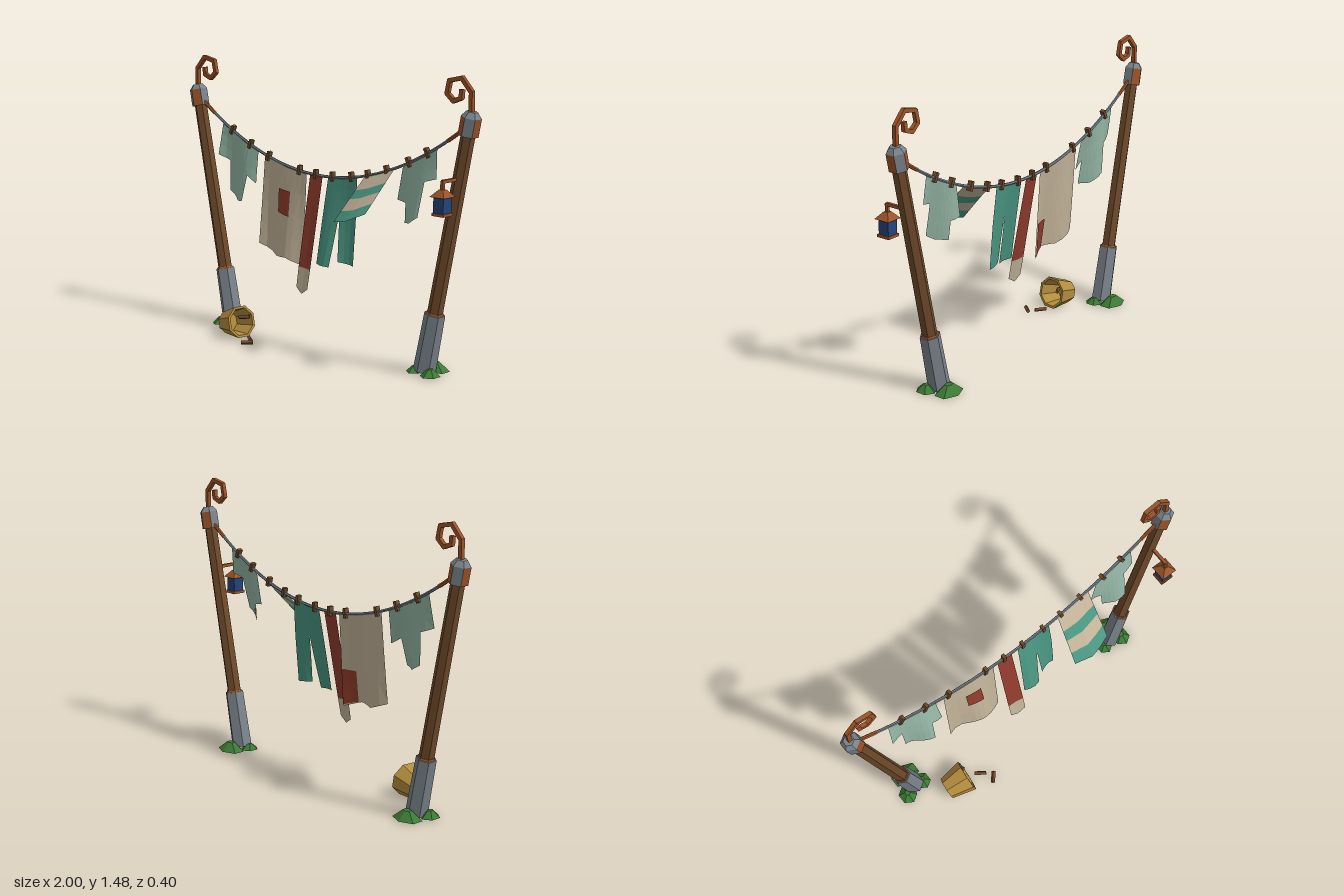
import * as THREE from 'three';

const material = (name, color, side = THREE.FrontSide) => {
  const m = new THREE.MeshStandardMaterial({ color, side });
  m.name = name;
  return m;
};
const both = THREE.DoubleSide;
const brown = material('dark wood', 0x6e4a2a);
const grey = material('stone grey', 0x79838a);
const copper = material('copper', 0x9c5429);
const mint = material('mint cloth', 0x94b6a5, both);
const cream = material('cream cloth', 0xc2b399, both);
const red = material('red cloth', 0x913c2d, both);
const teal = material('teal cloth', 0x4a9682, both);
const blue = material('blue glass', 0x25437a);
const gold = material('straw gold', 0xb38d3e, both);
const green = material('grass green', 0x3c7a34);

const Z = -0.075; // depth of the poles and the rope
const ropeY = (x) => 0.905 + 0.386 * x * x;
const V = (x, y, z = Z) => new THREE.Vector3(x, y, z);

// Faceted mesh
function add(parent, name, geo, mat) {
  const g = geo.index ? geo.toNonIndexed() : geo;
  g.computeVertexNormals();
  const m = new THREE.Mesh(g, mat);
  m.name = name;
  parent.add(m);
  return m;
}

// Square bar between two points
function strut(parent, name, a, b, w, mat) {
  const m = add(parent, name, new THREE.BoxGeometry(w, a.distanceTo(b) + w * 0.4, w), mat);
  m.position.copy(a).add(b).multiplyScalar(0.5);
  m.quaternion.setFromUnitVectors(V(0, 1, 0), b.clone().sub(a).normalize());
  return m;
}

// Upright prism from y0 to y1
function prism(parent, name, r0, r1, y0, y1, mat, sides = 6) {
  const m = add(parent, name, new THREE.CylinderGeometry(r1, r0, y1 - y0, sides), mat);
  m.position.y = (y0 + y1) / 2;
  return m;
}

// Point on a polyline at t in 0..1
function along(line, t) {
  const s = t * (line.length - 1), i = Math.min(Math.floor(s), line.length - 2), f = s - i;
  return [0, 1].map((k) => line[i][k] + (line[i + 1][k] - line[i][k]) * f);
}

// Hanging cloth between a top and a bottom edge, leaning forward with soft folds
function cloth(parent, name, mat, top, bottom, lean, fold = 0.05, off = 0, cols = 6, rows = 3) {
  const pos = [], index = [];
  for (let r = 0; r <= rows; r++) {
    for (let c = 0; c <= cols; c++) {
      const a = along(top, c / cols), b = along(bottom, c / cols), f = r / rows;
      const x = a[0] + (b[0] - a[0]) * f, y = a[1] + (b[1] - a[1]) * f;
      const drop = ropeY(x) - y;
      pos.push(x, y, Z + off + drop * (lean + fold * Math.sin(x * 21)));
      if (r < rows && c < cols) {
        const p = r * (cols + 1) + c, q = p + cols + 1;
        index.push(p, q, p + 1, p + 1, q, q + 1);
      }
    }
  }
  const g = new THREE.BufferGeometry();
  g.setAttribute('position', new THREE.Float32BufferAttribute(pos, 3));
  g.setIndex(index);
  return add(parent, name, g, mat);
}
const pin = (...xs) => xs.map((x) => [x, ropeY(x) - 0.004]);

function makePole(root, s) {
  const pole = new THREE.Group();
  pole.name = s > 0 ? 'leftPole' : 'rightPole';
  pole.position.set(s * 0.69, 0, Z);
  pole.rotation.z = -s * 0.205;
  root.add(pole);
  prism(pole, 'poleFoot', 0.057, 0.052, 0.012, 0.315, grey);
  prism(pole, 'footCollar', 0.046, 0.042, 0.315, 0.324, copper);
  prism(pole, 'poleShaft', 0.039, 0.035, 0.3, 1.24, brown);

  // Cap with alternating copper and grey sides
  const g = new THREE.CylinderGeometry(0.05, 0.05, 0.09, 6).toNonIndexed();
  g.clearGroups();
  for (let i = 0; i < 6; i++) g.addGroup(i * 6, 6, (i % 2 === 1) === (s > 0) ? 1 : 0);
  g.addGroup(36, 36, 0);
  add(pole, 'poleCap', g, [grey, copper]).position.y = 1.27;
  prism(pole, 'capTop', 0.05, 0.028, 1.315, 1.343, grey);

  // Curled hook
  const hook = [[0.958, 1.29], [0.958, 1.405], [0.9, 1.468], [0.826, 1.452],
    [0.812, 1.39], [0.852, 1.356], [0.897, 1.373], [0.9, 1.41]];
  for (let i = 1; i < hook.length; i++) {
    const [a, b] = [hook[i - 1], hook[i]];
    strut(root, 'curledHook', V(s * a[0], a[1]), V(s * b[0], b[1]), 0.021, copper);
  }

  // Grass tufts: x, z, radius x, radius z, height
  const tufts = [[0.7, -0.145, 0.085, 0.06, 0.045], [0.755, -0.045, 0.05, 0.055, 0.035],
    [0.645, -0.06, 0.045, 0.05, 0.03]];
  for (const [x, z, rx, rz, h] of tufts) {
    const tuft = add(root, 'grassTuft', new THREE.CylinderGeometry(0.3, 1, 1, 6), green);
    tuft.scale.set(rx, h, rz);
    tuft.position.set(s * x, h / 2, z);
  }
}

function makeRope(root) {
  const section = (name, a, b, r, n, mat) => {
    const curve = new THREE.QuadraticBezierCurve3(
      V(a, ropeY(a)), V((a + b) / 2, 0.905 + 0.386 * a * b), V(b, ropeY(b)));
    add(root, name, new THREE.TubeGeometry(curve, n, r, 6), mat);
  };
  section('rope', -0.84, 0.84, 0.008, 28, grey);
  for (const s of [-1, 1]) section('ropeEnd', s * 0.92, s * 0.82, 0.01, 3, copper);
  for (const x of [-0.68, -0.54, -0.4, -0.17, -0.053, 0.066, 0.198, 0.31, 0.436, 0.578, 0.695]) {
    const peg = add(root, 'clothesPeg', new THREE.BoxGeometry(0.018, 0.05, 0.026), brown);
    peg.position.set(x, ropeY(x) + 0.004, Z);
    peg.rotation.z = Math.atan(0.772 * x);
  }
}

function makeLaundry(root) {
  // Large shirt
  cloth(root, 'largeShirtBody', mint, pin(-0.7, -0.52), [[-0.69, 0.754], [-0.61, 0.711], [-0.545, 0.717]], 0.13, 0.1);
  cloth(root, 'largeShirtSleeve', mint, pin(-0.755, -0.68), [[-0.765, 0.947], [-0.68, 0.914]], 0.13, 0.1, 0, 2);
  cloth(root, 'largeShirtSleeve', mint, pin(-0.56, -0.48), [[-0.535, 0.856], [-0.47, 0.818]], 0.13, 0.1, 0, 2);

  // Blanket with a patch on each face
  cloth(root, 'blanket', cream, pin(-0.43, -0.12),
    [[-0.44, 0.5], [-0.31, 0.45], [-0.22, 0.455], [-0.12, 0.42]], 0.09, 0.05, 0, 9, 4);
  cloth(root, 'frontPatch', red, [[-0.31, 0.81], [-0.22, 0.8]], [[-0.305, 0.685], [-0.215, 0.67]], 0.09, 0.05, 0.006);
  cloth(root, 'backPatch', red, [[-0.21, 0.62], [-0.124, 0.62]], [[-0.205, 0.455], [-0.123, 0.43]], 0.09, 0.05, -0.006);

  // Scarf with a pale tip
  cloth(root, 'scarf', red, pin(-0.094, -0.005), [[-0.094, 0.43], [-0.003, 0.425]], 0.2, 0.02, 0, 2);
  cloth(root, 'scarfTip', cream, [[-0.094, 0.43], [-0.003, 0.425]],
    [[-0.092, 0.325], [-0.05, 0.295], [-0.004, 0.325]], 0.2, 0.02, 0, 2, 1);

  // Trousers
  cloth(root, 'trouserHips', teal, pin(0.035, 0.235), [[0.03, 0.72], [0.14, 0.74], [0.245, 0.72]], 0.14, 0.06);
  cloth(root, 'trouserLeg', teal, [[0.03, 0.72], [0.14, 0.74]], [[0.022, 0.46], [0.115, 0.455]], 0.14, 0.06, 0, 3);
  cloth(root, 'trouserLeg', teal, [[0.14, 0.74], [0.245, 0.72]], [[0.155, 0.485], [0.245, 0.473]], 0.14, 0.06, 0, 3);

  // Striped towel blown forward
  const topEdge = pin(0.29, 0.38, 0.485), lowEdge = [[0.258, 0.725], [0.35, 0.74], [0.468, 0.79]];
  const cuts = [0, 0.3, 0.5, 0.76, 1];
  const level = (t) => topEdge.map((p, i) => p.map((v, k) => v + (lowEdge[i][k] - v) * t));
  for (let i = 0; i < 4; i++) {
    cloth(root, 'towelStripe', i % 2 ? teal : cream, level(cuts[i]), level(cuts[i + 1]), 1, 0.06, 0, 4, 1);
  }

  // Small shirt
  cloth(root, 'smallShirtBody', mint, pin(0.56, 0.71), [[0.575, 0.738], [0.635, 0.75], [0.692, 0.785]], 0.13, 0.1);
  cloth(root, 'smallShirtSleeve', mint, pin(0.54, 0.61), [[0.51, 0.845], [0.578, 0.835]], 0.13, 0.1, 0, 2);
  cloth(root, 'smallShirtSleeve', mint, pin(0.67, 0.755), [[0.695, 0.955], [0.765, 0.975]], 0.13, 0.1, 0, 2);
}

function makeLantern(root) {
  strut(root, 'lanternArm', V(0.893, 0.99), V(0.893, 0.99, 0.05), 0.016, copper);
  strut(root, 'lanternHanger', V(0.893, 0.99, 0.05), V(0.893, 0.945, 0.05), 0.016, copper);
  const lantern = new THREE.Group();
  lantern.name = 'lantern';
  lantern.position.set(0.893, 0, 0.05);
  root.add(lantern);
  prism(lantern, 'lanternRoof', 0.062, 0.018, 0.918, 0.953, copper, 4).rotation.y = Math.PI / 4;
  prism(lantern, 'lanternGlass', 0.043, 0.043, 0.84, 0.918, blue, 4).rotation.y = Math.PI / 4;
  prism(lantern, 'lanternBase', 0.051, 0.051, 0.828, 0.842, copper, 4).rotation.y = Math.PI / 4;
}

function makeBucket(root) {
  const profile = [[0, 0], [0.062, 0], [0.09, 0.132], [0.076, 0.132], [0.053, 0.015], [0, 0.015]];
  const bucket = add(root, 'tippedBucket', new THREE.LatheGeometry(
    profile.map(([x, y]) => new THREE.Vector2(x, y)), 8, Math.PI / 8), gold);
  bucket.rotation.set(0, -0.12, -Math.PI / 2 + 0.2);
  bucket.position.set(-0.575, 0.059, 0.075);

  // Loose pegs
  strut(root, 'loosePeg', V(-0.485, 0.1, 0.07), V(-0.44, 0.105, 0.045), 0.016, brown);
  strut(root, 'loosePeg', V(-0.393, 0.008, 0.088), V(-0.345, 0.008, 0.122), 0.016, brown);
  strut(root, 'loosePeg', V(-0.345, 0.008, 0.188), V(-0.308, 0.008, 0.145), 0.016, brown);
}

export function createModel() {
  const root = new THREE.Group();
  root.name = 'clothesline';
  for (const s of [-1, 1]) makePole(root, s);
  makeRope(root);
  makeLaundry(root);
  makeLantern(root);
  makeBucket(root);
  return root;
}
